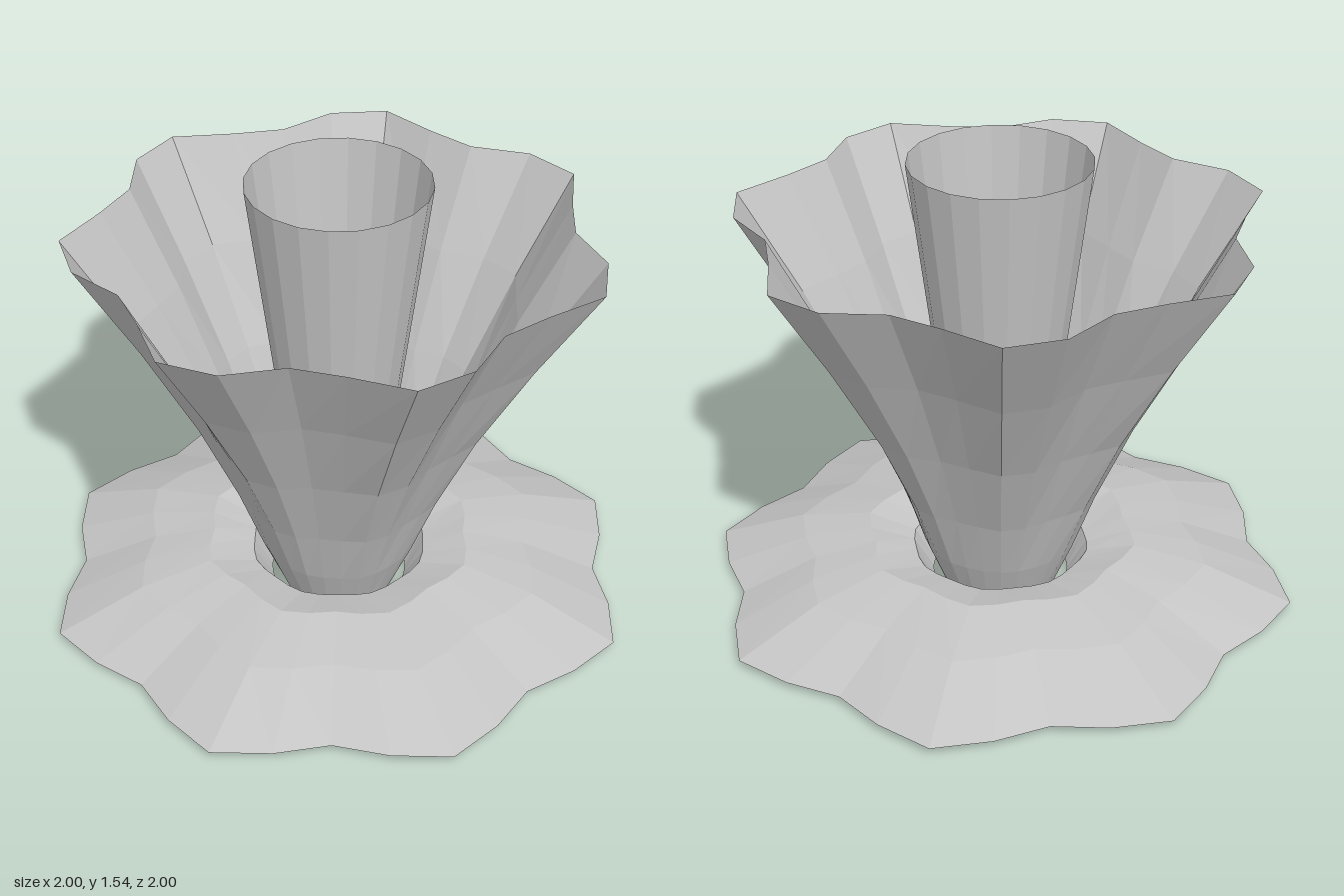
import * as THREE from 'three';

// Open surface of ruffled rings; each ring is [height, mean radius, ruffle depth]
function ruffled(name, material, rings, segments, lobes, phase) {
  const positions = [];
  const index = [];
  for (const [y, radius, depth] of rings) {
    for (let i = 0; i < segments; i++) {
      const a = (i / segments) * Math.PI * 2;
      const r = radius + depth * Math.cos(lobes * a - phase);
      positions.push(r * Math.cos(a), y, -r * Math.sin(a));
    }
  }
  for (let j = 0; j < rings.length - 1; j++) {
    for (let i = 0; i < segments; i++) {
      const n = (i + 1) % segments;
      const a = j * segments + i, b = j * segments + n;
      const c = a + segments, d = b + segments;
      index.push(a, b, d, a, d, c);
    }
  }
  const indexed = new THREE.BufferGeometry();
  indexed.setAttribute('position', new THREE.Float32BufferAttribute(positions, 3));
  indexed.setIndex(index);
  const geometry = indexed.toNonIndexed();
  geometry.computeVertexNormals();
  const mesh = new THREE.Mesh(geometry, material);
  mesh.name = name;
  return mesh;
}

export function createModel() {
  const grey = new THREE.MeshStandardMaterial({
    color: 0xc4c4c4, flatShading: true, side: THREE.DoubleSide,
  });
  grey.name = 'light grey';

  const flower = new THREE.Group();
  flower.name = 'flower';

  // Low outer petals: rise from the centre, then arch over and droop
  flower.add(ruffled('outerPetals', grey, [
    [0.025, 0.23, 0],
    [0.135, 0.295, 0.005],
    [0.18, 0.445, 0.018],
    [0.137, 0.67, 0.036],
    [0.025, 0.942, 0.058],
  ], 32, 8, 0));

  // Tall trumpet with seven lobes at the rim
  flower.add(ruffled('trumpet', grey, [
    [0, 0.19, 0],
    [0.18, 0.264, 0.003],
    [0.4, 0.34, 0.012],
    [0.69, 0.46, 0.026],
    [1.02, 0.622, 0.05],
    [1.35, 0.806, 0.072],
  ], 28, 7, 0.47));

  // Plain open tube in the middle
  flower.add(ruffled('centreTube', grey, [
    [0, 0.105, 0],
    [1.54, 0.296, 0],
  ], 20, 0, 0));

  return flower;
}
